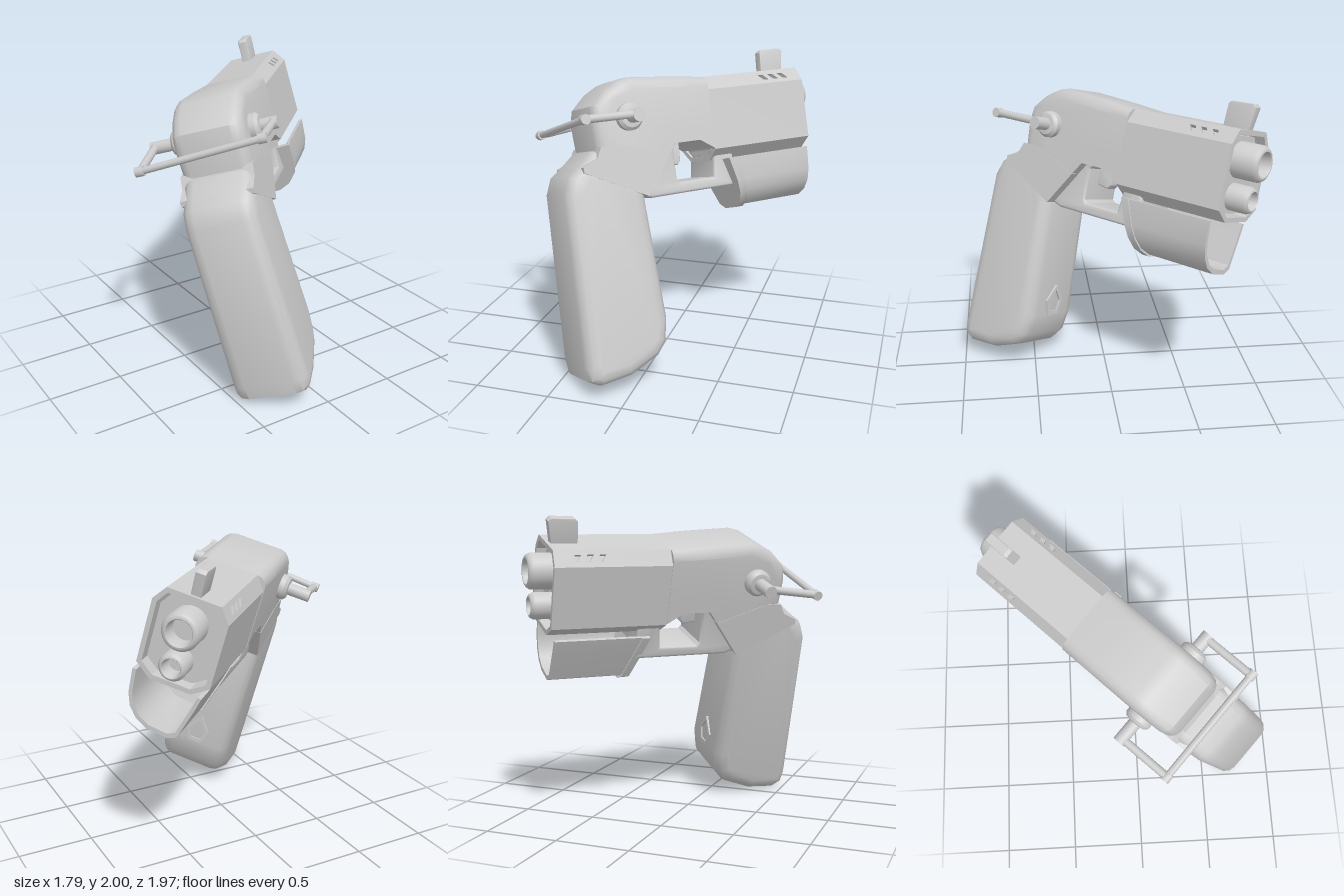
import * as THREE from 'three';
import { toCreasedNormals } from 'three/addons/utils/BufferGeometryUtils.js';

const material = new THREE.MeshStandardMaterial({ color: 0xcccccc, side: THREE.DoubleSide });
const toShape = (pts) => new THREE.Shape(pts.map(([x, y]) => new THREE.Vector2(x, y)));
// Half outline (z >= 0) completed by its mirror image
const mirrored = (half) => [...half, ...half.map(([z, y]) => [-z, y]).reverse()];

function add(parent, name, geometry, crease = 0.6) {
  const mesh = new THREE.Mesh(toCreasedNormals(geometry, crease), material);
  mesh.name = name;
  parent.add(mesh);
  return mesh;
}

// Moves every vertex by a rule
function reshape(geometry, rule) {
  const p = geometry.attributes.position;
  for (let i = 0; i < p.count; i++) p.setXYZ(i, ...rule(p.getX(i), p.getY(i), p.getZ(i)));
  geometry.computeVertexNormals();
  return geometry;
}

// Side profile (x forward, y up) given a width and rounded edges
function slab(pts, half, bevel, hole) {
  const shape = toShape(pts);
  if (hole) shape.holes.push(toShape(hole));
  const g = new THREE.ExtrudeGeometry(shape, {
    depth: 2 * (half - bevel), bevelEnabled: bevel > 0, bevelSize: bevel,
    bevelThickness: bevel, bevelOffset: -bevel, bevelSegments: 3,
  });
  return g.translate(0, 0, bevel - half);
}

// Cross-section (z, y) extruded along the barrel axis
function prism(section, x0, x1) {
  const flipped = section.map(([z, y]) => [-z, y]);
  return new THREE.ExtrudeGeometry(toShape(flipped), { depth: x1 - x0, bevelEnabled: false })
    .rotateY(Math.PI / 2).translate(x0, 0, 0);
}

function rod(a, b, r) {
  const curve = new THREE.LineCurve3(new THREE.Vector3(...a), new THREE.Vector3(...b));
  const g = new THREE.CylinderGeometry(r, r, curve.getLength(), 14);
  const dir = curve.getTangent(0);
  g.applyQuaternion(new THREE.Quaternion().setFromUnitVectors(new THREE.Vector3(0, 1, 0), dir));
  const mid = curve.getPoint(0.5);
  return g.translate(mid.x, mid.y, mid.z);
}

// Hollow tube with a rounded mouth, lying along x
function muzzleTube(x0, x1, r, bore, y) {
  const len = x1 - x0;
  const profile = [[r, 0], [r, len - 0.03], [r - 0.012, len - 0.008], [r - 0.025, len],
    [bore + 0.006, len], [bore, len - 0.01], [bore, len - 0.12], [0.0001, len - 0.12]];
  return new THREE.LatheGeometry(profile.map(([a, b]) => new THREE.Vector2(a, b)), 32)
    .rotateZ(-Math.PI / 2).translate(x0, y, 0);
}

export function createModel() {
  const model = new THREE.Group();
  const gun = new THREE.Group();
  gun.name = 'blaster';
  model.add(gun);

  // Grip, slightly wider and offset towards its foot
  const grip = slab([
    [-0.6, 1.42], [-0.69, 1.345], [-0.78, 1.28], [-0.825, 1.17], [-0.86, 0.07], [-0.845, -0.02],
    [-0.77, -0.06], [-0.56, -0.04], [-0.35, 0.045], [-0.28, 0.13], [-0.25, 0.28],
    [-0.285, 1.1], [-0.32, 1.36],
  ], 0.235, 0.085);
  add(gun, 'grip', reshape(grip, (x, y, z) => {
    const drop = Math.max(0, 1.25 - y);
    return [x, y, z * (1 + drop * 0.05) + drop * 0.015];
  }), 0.9);

  // Five-sided ring on the front of the grip
  const ring = toShape([[0, 0.49], [-0.085, 0.38], [-0.05, 0.275], [0.05, 0.275], [0.085, 0.38]]);
  ring.holes.push(toShape([[0, 0.455], [-0.057, 0.375], [-0.035, 0.302], [0.035, 0.302], [0.057, 0.375]]));
  add(gun, 'gripRing', new THREE.ExtrudeGeometry(ring, { depth: 0.04, bevelEnabled: false })
    .rotateY(Math.PI / 2).translate(-0.282, 0, 0.015));

  // Rear frame: rounded above, sharp below and flat where it meets the barrel
  const frame = slab([
    [0.262, 1.816], [0.05, 1.838], [-0.3, 1.862], [-0.37, 1.845], [-0.47, 1.79], [-0.565, 1.7],
    [-0.585, 1.6], [-0.57, 1.33], [-0.275, 1.1], [-0.04, 1.4], [0.15, 1.4], [0.262, 1.33],
  ], 0.236, 0.075);
  add(gun, 'frame', reshape(frame, (x, y, z) => [
    x > 0.18 ? 0.262 : x, y, y < 1.49 && x > -0.45 ? Math.sign(z) * 0.236 : z,
  ]));
  // Sharp-edged collar flaring over the top of the grip
  add(gun, 'collar', slab([
    [-0.565, 1.44], [-0.6, 1.37], [-0.7, 1.325], [-0.7, 1.29], [-0.275, 1.085], [-0.1, 1.32], [-0.45, 1.44],
  ], 0.239, 0));

  // Barrel housing: eight panels around a core, vents in the two upper chamfers
  const octagon = mirrored([[0.167, 1.816], [0.232, 1.725], [0.232, 1.325], [0.13, 1.25]]);
  const housing = new THREE.Group();
  housing.name = 'barrelHousing';
  gun.add(housing);
  octagon.forEach(([z, y], i) => {
    const [z2, y2] = octagon[(i + 1) % 8];
    const edge = new THREE.Vector3(0, y2 - y, z2 - z);
    const len = edge.length();
    const panel = toShape([[0.262, 0], [1.03, 0], [1.03, len], [0.262, len]]);
    if (i === 0 || i === 6) {
      const lean = i === 0 ? 0.015 : -0.015;
      for (const x of [0.71, 0.79, 0.87]) {
        panel.holes.push(toShape([[x - lean, 0.035], [x + 0.04 - lean, 0.035],
          [x + 0.04 + lean, 0.08], [x + lean, 0.08]]));
      }
    }
    const g = new THREE.ExtrudeGeometry(panel, { depth: 0.03, bevelEnabled: false });
    const xAxis = new THREE.Vector3(1, 0, 0);
    edge.normalize();
    const basis = new THREE.Matrix4().makeBasis(xAxis, edge, xAxis.clone().cross(edge));
    add(housing, 'housingPanel', g.applyMatrix4(basis.setPosition(0, y, z)));
  });
  const core = octagon.map(([z, y]) => [z * 0.84, 1.533 + (y - 1.533) * 0.85]);
  add(housing, 'housingCore', prism(core, 0.27, 0.97));

  // Twin muzzles
  add(gun, 'upperMuzzle', muzzleTube(0.9, 1.15, 0.115, 0.076, 1.63));
  add(gun, 'lowerMuzzle', muzzleTube(0.9, 1.12, 0.086, 0.054, 1.4));

  // Front sight
  add(gun, 'frontSight', slab([
    [0.83, 1.78], [0.84, 1.955], [0.86, 1.972], [1.01, 1.975], [1.03, 1.955], [1.0, 1.78],
  ], 0.032, 0.006));

  // Trigger guard, closed behind the trigger
  add(gun, 'triggerGuard', slab([
    [-0.36, 1.13], [-0.28, 1.085], [-0.22, 1.065], [0.43, 1.065],
    [0.43, 1.3], [0.32, 1.46], [-0.1, 1.46], [-0.36, 1.3],
  ], 0.17, 0.02, [[-0.02, 1.16], [0, 1.14], [0.26, 1.14], [0.28, 1.3], [0.22, 1.42], [0.03, 1.42], [-0.02, 1.37]]));
  add(gun, 'trigger', slab([
    [-0.06, 1.44], [-0.05, 1.27], [0.06, 1.25], [0.085, 1.28], [0.09, 1.44],
  ], 0.05, 0.01));

  // Open-fronted shell below the barrel, one wall lower, its rear edge slanted
  const outer = [[0.255, 1.255], [0.243, 1.1], [0.215, 1.02], [0.16, 0.955], [0.08, 0.915],
    [-0.06, 0.905], [-0.115, 0.935], [-0.175, 1.15], [-0.192, 1.225]];
  const scaled = (sz, sy) => outer.map(([z, y]) => [0.035 + (z - 0.035) * sz, 1.255 + (y - 1.255) * sy]);
  const slant = (g) => reshape(g, (x, y, z) => [x < 0.5 ? x + (1.255 - y) * 0.32 : x, y, z]);
  add(gun, 'lowerShell', slant(prism([...outer, ...scaled(0.89, 0.92).reverse()], 0.39, 0.99)));
  add(gun, 'shellFlange', slant(prism(scaled(1.04, 1.04), 0.34, 0.395)));

  // Rear bail on two side pivots, sitting slightly askew
  const bail = new THREE.Group();
  bail.name = 'rearBail';
  gun.add(bail);
  const corners = [[-1, 0.42, 1.57], [1, 0.378, 1.615]].map(([side, reach, y]) => {
    const z = side * reach;
    const boss = [[0.0001, 0.07], [0.045, 0.07], [0.07, 0.065], [0.088, 0.045], [0.088, 0]];
    add(bail, 'pivotBoss', new THREE.LatheGeometry(boss.map(([a, b]) => new THREE.Vector2(a, b)), 28)
      .rotateX(side * Math.PI / 2).translate(-0.35, 1.605, side * 0.228));
    add(bail, 'pivotPin', rod([-0.35, 1.605, side * 0.27], [-0.35, 1.605, z + side * 0.03], 0.042));
    add(bail, 'bailArm', rod([-0.35, 1.615, z], [-0.71, y, z], 0.026));
    add(bail, 'bailCorner', rod([-0.71, y, z - side * 0.025], [-0.71, y, z + side * 0.03], 0.032));
    return [-0.71, y, z];
  });
  add(bail, 'bailBar', rod(corners[0], corners[1], 0.023));

  // Turned diagonally and rolled onto one side
  gun.rotation.set(-0.279, Math.PI / 4, 0, 'YXZ');
  gun.position.set(0.242, 0.098, 0.242);
  return model;
}
